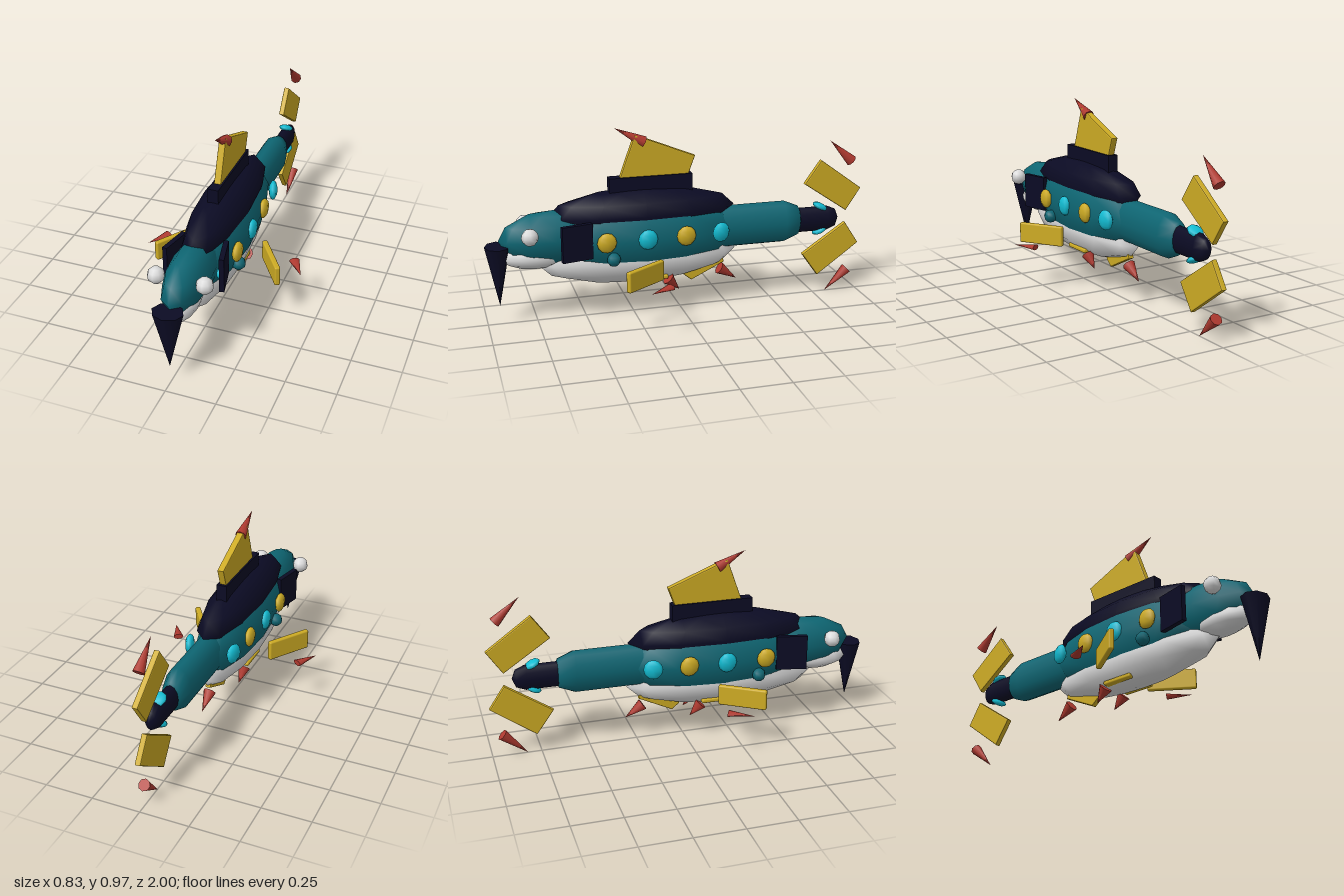
import * as THREE from 'three';
import { RoundedBoxGeometry } from 'three/addons/geometries/RoundedBoxGeometry.js';

const mat = (name, color) => {
  const m = new THREE.MeshStandardMaterial({ color });
  m.name = name;
  return m;
};

export function createModel() {
  const model = new THREE.Group();
  model.name = 'mechanicalFish';
  const teal = mat('teal', 0x0e6673);
  const navy = mat('navy', 0x0b0b24);
  const white = mat('white', 0xdcdcdc);
  const yellow = mat('yellow', 0xcdab24);
  const red = mat('red', 0xb03a30);
  const cyan = mat('cyan', 0x12bcd2);

  const add = (name, geometry, material, pos = [0, 0, 0], rot = [0, 0, 0]) => {
    const mesh = new THREE.Mesh(geometry, material);
    mesh.name = name;
    mesh.position.set(...pos);
    mesh.rotation.set(...rot);
    model.add(mesh);
    return mesh;
  };
  const ellipsoid = (name, material, pos, radii, rot, w = 12, h = 6) =>
    add(name, new THREE.SphereGeometry(1, w, h).scale(...radii), material, pos, rot);

  // Capsule lying along z, flattened sideways
  const capsule = (name, material, y, zFront, zBack, r, flat) => {
    const g = new THREE.CapsuleGeometry(r, zFront - zBack - 2 * r, 2, 12);
    g.rotateX(Math.PI / 2).scale(flat, 1, 1);
    return add(name, g, material, [0, y, (zFront + zBack) / 2]);
  };

  // Upright plate on the centre line, outlined by [z, y] points
  const plate = (name, points, thickness) => {
    const b = 0.006;
    const shape = new THREE.Shape(points.map(p => new THREE.Vector2(...p)));
    const g = new THREE.ExtrudeGeometry(shape, {
      depth: thickness - 2 * b, bevelThickness: b, bevelSize: b, bevelOffset: -b, bevelSegments: 2,
    });
    g.translate(0, 0, b - thickness / 2).rotateY(-Math.PI / 2);
    return add(name, g, yellow);
  };

  // Cone from the centre of its base to its tip
  const spike = (name, base, tip, r, flat = 1) => {
    const a = new THREE.Vector3(...base), b = new THREE.Vector3(...tip);
    const dir = b.clone().sub(a);
    const g = new THREE.ConeGeometry(r, dir.length(), 8);
    g.applyQuaternion(new THREE.Quaternion().setFromUnitVectors(new THREE.Vector3(0, 1, 0), dir.normalize()));
    g.scale(1, flat, 1);
    return add(name, g, red, a.add(b).multiplyScalar(0.5).toArray());
  };

  // Body
  ellipsoid('body', teal, [0, 0.43, 0.2], [0.145, 0.2, 0.52]);
  ellipsoid('back', navy, [0, 0.55, 0.2], [0.125, 0.125, 0.49]);
  ellipsoid('belly', white, [0, 0.31, 0.22], [0.118, 0.132, 0.52]);
  capsule('tail', teal, 0.43, -0.05, -0.68, 0.113, 0.63);
  capsule('tailTip', navy, 0.428, -0.55, -0.88, 0.068, 0.6);

  // Head
  ellipsoid('head', teal, [0, 0.45, 0.65], [0.102, 0.14, 0.28]);
  ellipsoid('jaw', white, [0, 0.36, 0.75], [0.08, 0.065, 0.17]);
  add('beak', new THREE.ConeGeometry(0.077, 0.315, 8).rotateX(Math.PI).scale(1, 1, 0.83),
    navy, [0, 0.267, 0.935]);

  // Dorsal fin
  add('dorsalBase', new THREE.BoxGeometry(0.054, 0.1, 0.43), navy, [0, 0.685, 0.155]);
  plate('dorsalFin', [[0.32, 0.71], [0.235, 0.948], [-0.077, 0.824], [-0.035, 0.71]], 0.036);
  spike('dorsalSpike', [0, 0.907, 0.185], [0, 0.985, 0.335], 0.03);

  // Tail fins, mirrored about the tail axis
  const tailFin = [[-0.77, 0.32], [-1, 0.154], [-0.92, 0.034], [-0.68, 0.195]];
  for (const [s, side] of [[1, 'upper'], [-1, 'lower']]) {
    plate(side + 'TailFin', tailFin.map(([z, y]) => [z, 0.431 + s * y]), 0.03);
    spike(side + 'TailSpike', [0, 0.431 + s * 0.303, -0.945], [0, 0.431 + s * 0.42, -0.82], 0.03);
    ellipsoid(side + 'TailLight', cyan, [0, 0.43 + s * 0.066, -0.775], [0.04, 0.018, 0.043],
      [-s * 0.45, 0, 0], 8, 6);
  }

  // Anal fin
  plate('analFin', [[0, 0.26], [-0.02, 0.185], [-0.06, 0.153], [-0.238, 0.238], [-0.22, 0.3]], 0.03);
  spike('analSpike', [0, 0.2, -0.215], [0, 0.135, -0.31], 0.033);

  // Paired parts
  const portholes = [[0.41, 0.14], [0.2, 0.14], [0, 0.132], [-0.187, 0.12]];
  for (const [s, side] of [[1, 'left'], [-1, 'right']]) {
    ellipsoid(side + 'Eye', white, [s * 0.12, 0.496, 0.785], [0.043, 0.043, 0.043], undefined, 8, 6);
    add(side + 'GillCover', new THREE.BoxGeometry(0.025, 0.183, 0.16), navy,
      [s * 0.125, 0.449, 0.556], [0, s * 0.22, 0]);
    ellipsoid(side + 'Gill', cyan, [s * 0.118, 0.43, 0.585], [0.018, 0.03, 0.03], undefined, 8, 6);
    portholes.forEach(([z, x], i) => ellipsoid(side + 'Porthole' + (i + 1), i % 2 ? cyan : yellow,
      [s * x, 0.44, z], [0.024, 0.052, 0.05], [0, s * (i === 3 ? 0.25 : 0), 0], 8, 6));
    // Pectoral fin
    ellipsoid(side + 'FinJoint', teal, [s * 0.132, 0.348, 0.375], [0.036, 0.035, 0.035], undefined, 8, 6);
    add(side + 'PectoralFin', new RoundedBoxGeometry(0.028, 0.106, 0.25, 2, 0.008), yellow,
      [s * 0.255, 0.292, 0.243], [0, s * 0.59, 0]);
    spike(side + 'PectoralSpike', [s * 0.345, 0.257, 0.137], [s * 0.413, 0.257, 0.25], 0.027, 0.55);
    // Pelvic fin
    add(side + 'PelvicFin', new RoundedBoxGeometry(0.055, 0.022, 0.17, 2, 0.008), yellow,
      [s * 0.063, 0.212, 0.168]);
    spike(side + 'PelvicSpike', [s * 0.068, 0.195, 0.08], [s * 0.063, 0.13, 0.02], 0.034);
  }
  return model;
}
